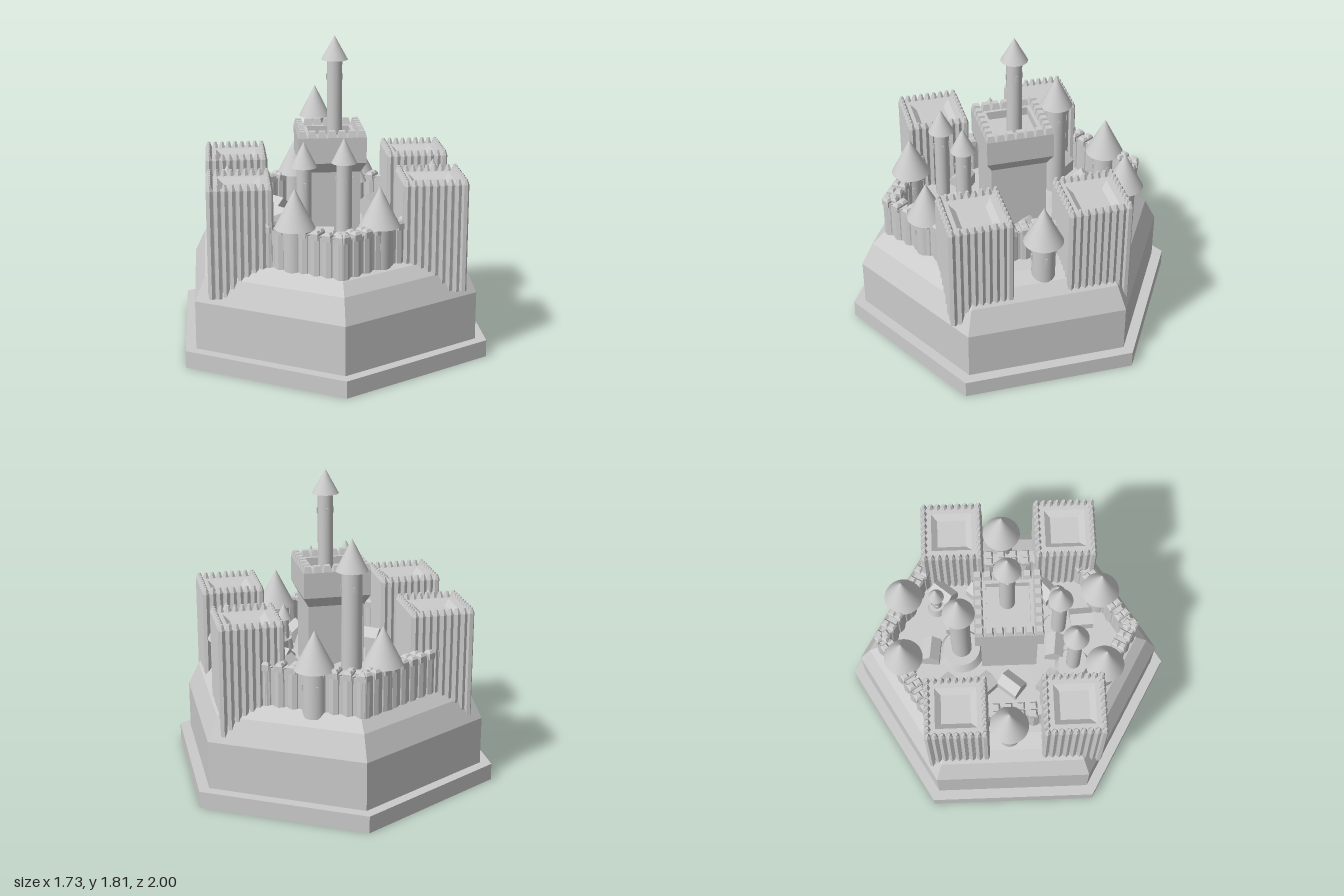
import * as THREE from 'three';

const flat = new THREE.MeshStandardMaterial({ color: 0xcccccc, flatShading: true });
const smooth = new THREE.MeshStandardMaterial({ color: 0xcccccc });

function add(parent, name, geometry, material = flat, x = 0, y = 0, z = 0, turn = 0) {
  const mesh = new THREE.Mesh(geometry, material);
  mesh.name = name;
  mesh.position.set(x, y, z);
  mesh.rotation.y = turn;
  parent.add(mesh);
  return mesh;
}

// Faceted solid from a [radius, height] profile, listed bottom to top
const lathe = (profile, sides) =>
  new THREE.LatheGeometry(profile.map(([r, y]) => new THREE.Vector2(r, y)), sides);

// Square solid: profile gives the half width at each height
const squareLathe = (profile) =>
  lathe(profile.map(([r, y]) => [r * Math.SQRT2, y]), 4).rotateY(Math.PI / 4);

// Calls place(x, z, turn) at n even steps along each side of a square
function aroundSquare(half, n, place) {
  for (let side = 0; side < 4; side++) {
    const a = (side * Math.PI) / 2;
    for (let i = 0; i < n; i++) {
      const t = -half + (2 * half * i) / n;
      place(t * Math.cos(a) + half * Math.sin(a), half * Math.cos(a) - t * Math.sin(a), a);
    }
  }
}

// Ribbed square corner tower with a sunken roof
function cornerTower(x, z) {
  const g = new THREE.Group();
  g.name = 'cornerTower';
  g.position.set(x, 0, z);
  add(g, 'towerBody', squareLathe([[0, 0.42], [0.162, 0.42], [0.162, 1.045], [0.12, 1.045], [0.085, 1.015], [0, 1.015]]));
  const rib = lathe([[0, 0.42], [0.021, 0.42], [0.021, 1.045], [0.009, 1.08], [0, 1.08]], 6);
  aroundSquare(0.164, 8, (rx, rz, a) => add(g, 'rib', rib, flat, rx, 0, rz, a));
  return g;
}

// Round turret with a cone roof, window slits and an optional wide foot
function turret(x, z, r, bottom, eave, tip, coneR, footR = 0) {
  const g = new THREE.Group();
  g.name = 'turret';
  g.position.set(x, 0, z);
  add(g, 'turretShaft', new THREE.CylinderGeometry(r, r, eave - bottom, 24), smooth, 0, (eave + bottom) / 2);
  add(g, 'turretRoof', new THREE.ConeGeometry(coneR, tip - eave, 32), smooth, 0, (eave + tip) / 2);
  for (let i = 0; i < 4; i++) {
    const a = (i * Math.PI) / 2;
    add(g, 'windowSlit', new THREE.BoxGeometry(0.014, 0.035, 0.01), flat,
      Math.sin(a) * r, eave - 0.1, Math.cos(a) * r, a);
  }
  if (footR) add(g, 'turretFoot', new THREE.CylinderGeometry(footR * 0.8, footR, 0.07, 24), smooth, 0, 0.66);
  return g;
}

// Small gabled house
function house(x, z, turn) {
  const s = new THREE.Shape();
  [[-0.055, 0], [0.055, 0], [0.055, 0.09], [0, 0.14], [-0.055, 0.09]].forEach(([px, py], i) =>
    i ? s.lineTo(px, py) : s.moveTo(px, py));
  const geo = new THREE.ExtrudeGeometry(s, { depth: 0.14, bevelEnabled: false });
  geo.translate(0, 0, -0.07);
  const g = new THREE.Group();
  add(g, 'house', geo, flat, x, 0.61, z, turn);
  return g.children[0];
}

// Scalloped wall from one point to another, with merlons on top
function curtainWall([x0, z0], [x1, z1]) {
  const g = new THREE.Group();
  g.name = 'curtainWall';
  const length = Math.hypot(x1 - x0, z1 - z0);
  const turn = Math.atan2(-(z1 - z0), x1 - x0);
  add(g, 'wallBody', new THREE.BoxGeometry(length, 0.23, 0.06), flat, (x0 + x1) / 2, 0.7, (z0 + z1) / 2, turn);
  const n = Math.round(length / 0.075);
  const post = new THREE.CylinderGeometry(0.044, 0.044, 0.235, 10);
  const merlon = squareLathe([[0, 0.8], [0.023, 0.8], [0.023, 0.835], [0.013, 0.85], [0, 0.85]]);
  for (let i = 0; i <= n; i++) {
    const x = x0 + ((x1 - x0) * i) / n, z = z0 + ((z1 - z0) * i) / n;
    add(g, 'wallPost', post, flat, x, 0.705, z, turn);
    for (const side of [-0.022, 0.022])
      add(g, 'wallMerlon', merlon, flat, x + side * Math.sin(turn), 0, z + side * Math.cos(turn), turn);
  }
  return g;
}

export function createModel() {
  const model = new THREE.Group();
  model.name = 'castle';

  // Hexagonal plinth and hill
  add(model, 'plinth', lathe([[0, 0], [1, 0], [1, 0.1], [0, 0.1]], 6));
  add(model, 'hill', lathe([[0.93, 0.1], [0.93, 0.385], [0.86, 0.525], [0.79, 0.59], [0.68, 0.625], [0, 0.635]], 6));

  // Four square towers
  for (const x of [-0.545, 0.549])
    for (const z of [-0.32, 0.36]) model.add(cornerTower(x, z));

  // Central keep with battlements and spire
  const keep = new THREE.Group();
  keep.name = 'keep';
  add(keep, 'keepBody', squareLathe([[0, 0.6], [0.165, 0.6], [0.165, 1.04], [0.197, 1.1], [0.197, 1.25],
    [0.125, 1.25], [0.125, 1.2], [0, 1.2]]));
  const merlon = squareLathe([[0, 1.24], [0.026, 1.25], [0.017, 1.287], [0, 1.287]]);
  aroundSquare(0.171, 6, (x, z) => add(keep, 'keepMerlon', merlon, flat, x, 0, z));
  keep.add(turret(0.03, -0.005, 0.045, 1.18, 1.67, 1.81, 0.077));
  model.add(keep);

  // Ring of walls
  const ring = [[0, 0.735], [0.46, 0.42], [0.46, -0.47], [-0.02, -0.755], [-0.515, -0.45], [-0.505, 0.42]];
  ring.forEach((p, i) => model.add(curtainWall(p, ring[(i + 1) % ring.length])));

  // Wall turrets
  for (const [x, z] of [[-0.16, -0.63], [0.225, -0.625], [-0.245, 0.565], [0.227, 0.565], [-0.6, 0.015], [0.62, 0.02]])
    model.add(turret(x, z > 0.5 || z < -0.5 ? z : -z, 0.068, 0.56, 0.835, 1.06, 0.115));

  // Inner turrets, tall and small
  model.add(turret(-0.063, -0.285, 0.06, 0.6, 1.28, 1.468, 0.094, 0.14));
  model.add(turret(-0.18, 0.385, 0.042, 0.6, 1.134, 1.278, 0.075, 0.11));
  model.add(turret(0.055, 0.307, 0.045, 0.6, 1.132, 1.278, 0.073, 0.11));
  model.add(turret(0.225, 0.31, 0.03, 0.6, 0.82, 0.92, 0.048, 0.06));
  model.add(turret(0.225, -0.43, 0.03, 0.6, 0.82, 0.92, 0.048, 0.06));

  // Town houses
  const houses = [[-0.07, -0.47, 1.45], [0.11, -0.31, 0.05], [-0.07, 0.28, 1.45], [0.11, 0.45, 0.05]];
  for (const side of [-1, 1])
    for (const [z, turn] of [[-0.39, 0.7], [-0.16, 0.7], [0.01, -0.7], [0.24, 0.9]])
      houses.push([side * 0.3, z, -side * turn]);
  houses.forEach(([x, z, turn]) => model.add(house(x, z, turn)));

  return model;
}
